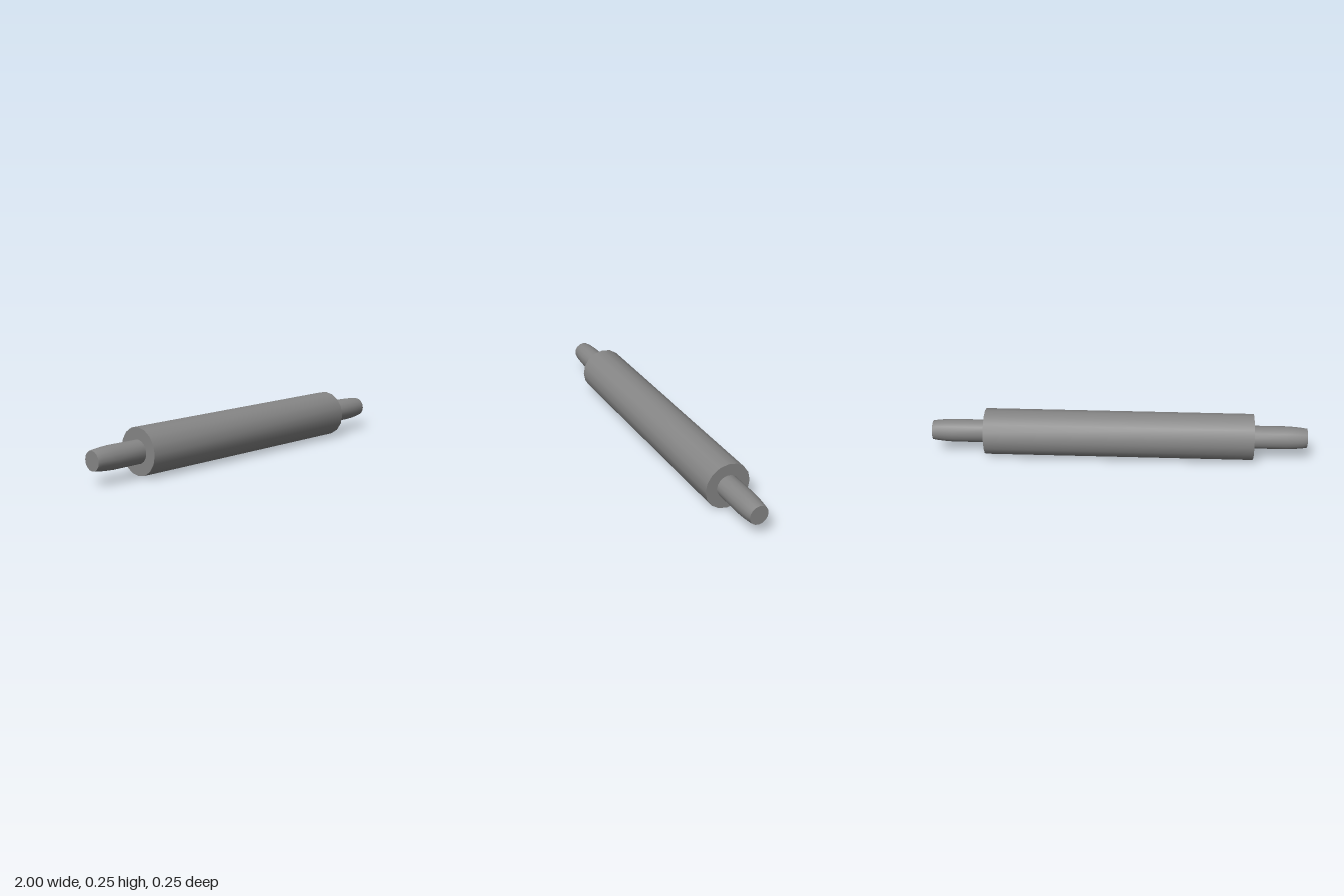
import * as THREE from 'three';
import { toCreasedNormals } from 'three/addons/utils/BufferGeometryUtils.js';

const SIDES = 16;
const RADIUS = 0.1235;
const HALF_BODY = 0.715;

// Turns a profile of [radius, distance] points around the x axis
function turned(name, profile, material) {
  const points = profile.map(([r, d]) => new THREE.Vector2(r, d));
  const geometry = new THREE.LatheGeometry(points, SIDES);
  geometry.rotateZ(-Math.PI / 2);
  const mesh = new THREE.Mesh(toCreasedNormals(geometry, 0.7), material);
  mesh.name = name;
  return mesh;
}

export function createModel() {
  const group = new THREE.Group();
  group.name = 'rollingPin';
  const material = new THREE.MeshStandardMaterial({ color: 0x868686 });

  // Thick cylinder with flat ends
  group.add(turned('roller', [
    [0, -HALF_BODY], [RADIUS, -HALF_BODY], [RADIUS, HALF_BODY], [0, HALF_BODY],
  ], material));

  // Slim grips that taper softly to a flat tip
  const grip = [
    [0, HALF_BODY], [0.061, HALF_BODY], [0.0615, 0.89],
    [0.059, 0.935], [0.055, 0.975], [0.051, 1], [0, 1],
  ];
  for (const side of [1, -1]) {
    const handle = turned(side > 0 ? 'leftHandle' : 'rightHandle', grip, material);
    if (side < 0) handle.rotation.y = Math.PI;
    group.add(handle);
  }

  // Rests on the ground, turned very slightly
  group.position.y = RADIUS;
  group.rotation.y = -0.004;
  return group;
}
